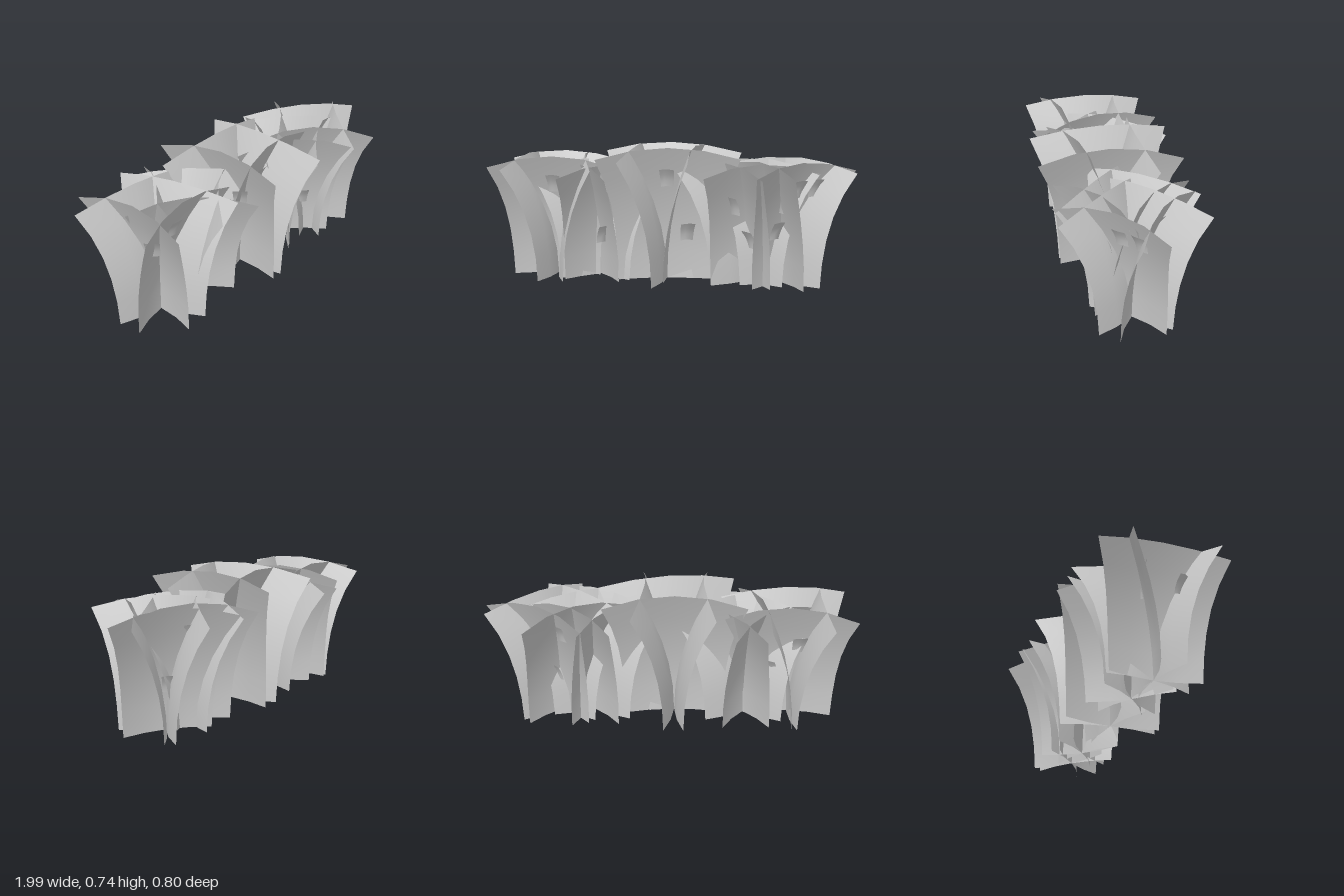
import * as THREE from 'three';

const mat = new THREE.MeshStandardMaterial({ color: 0xcccccc, side: THREE.DoubleSide });

// A bent sheet: a plane whose grid is moved by a rule of u (-1..1) and v (0..1)
function sheet(name, nu, nv, rule) {
  const g = new THREE.PlaneGeometry(2, 1, nu, nv);
  const p = g.attributes.position;
  for (let i = 0; i < p.count; i++) p.setXYZ(i, ...rule(p.getX(i), p.getY(i) + 0.5));
  g.computeVertexNormals();
  const m = new THREE.Mesh(g, mat);
  m.name = name;
  return m;
}

// Foliage card: touches the clump centre, sides bowed outwards, widens and leans out to an arched top
function card(half, height, degrees) {
  const m = sheet('foliageCard', 4, 5, (u, v) => [
    half * u * (0.69 + 0.08 * v + 0.23 * v ** 3),
    v * (height - 0.058 * u * u * v),
    0.16 * v * v + 0.043 * u * u,
  ]);
  m.rotation.y = THREE.MathUtils.degToRad(90 - degrees);
  return m;
}

// Small curled leaf
function leaf(x, y, z, yaw) {
  const m = sheet('smallLeaf', 3, 3, (u, v) => [
    u * (0.034 + 0.006 * v),
    (v - 0.5) * 0.1 - 0.008 * u * u,
    0.03 * v * v - 0.012 * u * u,
  ]);
  m.position.set(x, y, z);
  m.rotation.set(0.12, yaw, 0, 'YXZ');
  return m;
}

// Centre, card half width, card height, and the direction each card leans (from +x towards +z)
const clumps = [
  { name: 'middleClump', x: -0.025, z: 0, half: 0.385, height: 0.74, lean: [2, 77, 177, 268] },
  { name: 'leftEndClump', x: -0.655, z: 0, half: 0.35, height: 0.68, lean: [-13, 82, 180, 273] },
  { name: 'leftInnerClump', x: -0.41, z: -0.02, half: 0.335, height: 0.64, lean: [-46, 52, 130, 220] },
  { name: 'rightInnerClump', x: 0.42, z: -0.015, half: 0.33, height: 0.66, lean: [-50, 60, 130, 218] },
  { name: 'rightEndClump', x: 0.605, z: -0.02, half: 0.34, height: 0.67, lean: [-55, 44, 134, 231] },
];

// Position and yaw of each small leaf
const leaves = [
  [0, 0.58, 0.12, 0.1], [0.1, 0.28, 0.06, 0.4], [-0.15, 0.5, 0.11, -0.9],
  [-0.64, 0.53, 0.11, 0], [-0.79, 0.47, 0.1, -0.9], [-0.55, 0.3, -0.06, 2.6],
  [-0.7, 0.45, -0.1, 3.3], [-0.37, 0.25, 0.07, 0.8], [0.36, 0.44, 0.13, -0.6],
  [0.44, 0.25, 0.07, -0.7], [0.78, 0.53, -0.02, 0.7], [0.59, 0.45, 0.08, -0.7],
  [0.7, 0.53, 0.06, 0.8], [0.59, 0.31, 0.095, 0.9], [0.62, 0.26, -0.06, 2.3],
  [0.58, 0.53, -0.17, 2.4],
];

export function createModel() {
  const model = new THREE.Group();
  model.name = 'hedgeRow';
  for (const c of clumps) {
    const group = new THREE.Group();
    group.name = c.name;
    group.position.set(c.x, 0, c.z);
    for (const degrees of c.lean) group.add(card(c.half, c.height, degrees));
    model.add(group);
  }
  const leafGroup = new THREE.Group();
  leafGroup.name = 'looseLeaves';
  for (const l of leaves) leafGroup.add(leaf(...l));
  model.add(leafGroup);
  return model;
}
